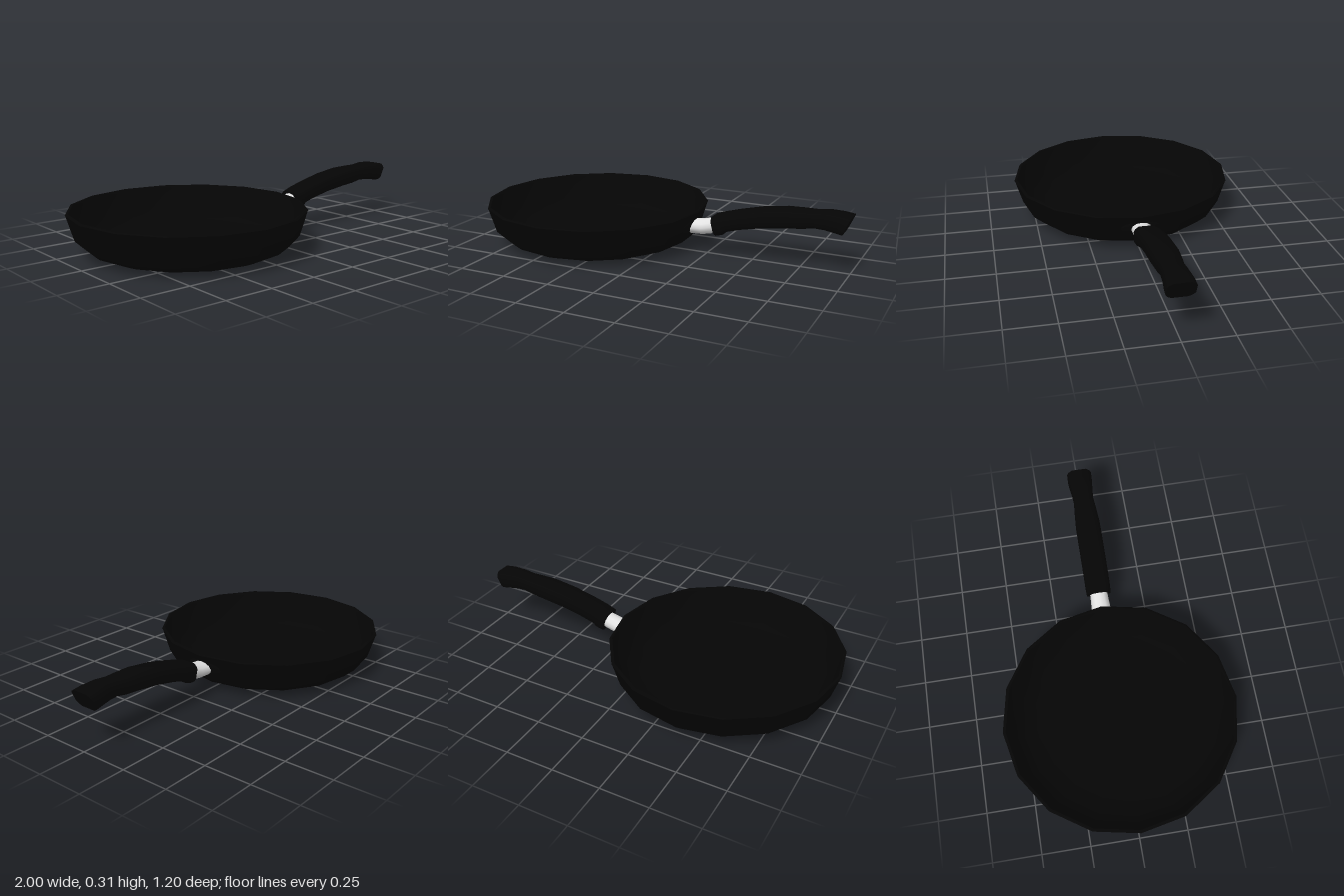
import * as THREE from 'three';
import { toCreasedNormals } from 'three/addons/utils/BufferGeometryUtils.js';

// Capped tube along +x; each section is [topX, topY, bottomX, bottomY, halfWidth]
function loft(sections, ring) {
  const pos = [], idx = [], n = ring.length;
  for (const [tx, ty, bx, by, w] of sections) {
    for (const [u, v] of ring) {
      const t = (v + 1) / 2;
      pos.push(bx + (tx - bx) * t, by + (ty - by) * t, u * w);
    }
  }
  for (let i = 0; i < sections.length - 1; i++) {
    for (let j = 0; j < n; j++) {
      const a = i * n + j, b = i * n + (j + 1) % n;
      idx.push(a, a + n, b, b, a + n, b + n);
    }
  }
  const last = (sections.length - 1) * n;
  for (let j = 1; j < n - 1; j++) {
    idx.push(0, j, j + 1, last, last + j + 1, last + j);
  }
  const g = new THREE.BufferGeometry();
  g.setAttribute('position', new THREE.Float32BufferAttribute(pos, 3));
  g.setIndex(idx);
  return toCreasedNormals(g, 1.0);
}

// Shallow oval pad bent to follow the slope and curve of the bowl wall
function wallPad() {
  const g = new THREE.SphereGeometry(1, 16, 10);
  const p = g.attributes.position;
  for (let i = 0; i < p.count; i++) {
    const y = p.getY(i) * 0.042, z = p.getZ(i) * 0.11;
    const x = Math.max(p.getX(i), 0) * 0.012 + 0.3 * y - 0.199 * Math.abs(z);
    p.setXYZ(i, x, y, z);
  }
  g.computeVertexNormals();
  return g;
}

export function createModel() {
  const model = new THREE.Group();
  model.name = 'fryingPan';
  const black = new THREE.MeshStandardMaterial({ color: 0x050505 });
  black.name = 'black coating';
  const steel = new THREE.MeshStandardMaterial({ color: 0xe2e2e2 });
  steel.name = 'pale steel';
  const add = (name, geometry, material) => {
    const mesh = new THREE.Mesh(geometry, material);
    mesh.name = name;
    model.add(mesh);
    return mesh;
  };

  // Sixteen-sided bowl: outside wall, rounded rim, then inside wall and floor
  const profile = [
    [0, 0], [0.36, 0], [0.45, 0.012], [0.505, 0.034], [0.56, 0.082], [0.597, 0.206], [0.601, 0.212],
    [0.596, 0.218], [0.586, 0.218], [0.58, 0.206], [0.544, 0.088], [0.495, 0.046], [0.445, 0.027],
    [0.36, 0.016], [0, 0.016],
  ].map(([r, y]) => new THREE.Vector2(r, y));
  const bowl = add('bowl', toCreasedNormals(new THREE.LatheGeometry(profile, 16), 0.9), black);
  bowl.position.x = -0.4;

  // Mount on the outside of the bowl
  const mount = add('handleMount', wallPad(), black);
  mount.position.set(0.174, 0.138, 0);

  // Steel neck
  const round = Array.from({ length: 12 }, (_, i) => {
    const a = i * Math.PI / 6;
    return [Math.cos(a), Math.sin(a)];
  });
  add('neck', loft([
    [0.183, 0.178, 0.16, 0.098, 0.053],
    [0.23, 0.183, 0.23, 0.1, 0.051],
    [0.27, 0.194, 0.28, 0.11, 0.048],
    [0.33, 0.208, 0.34, 0.128, 0.047],
  ], round), steel);

  // Curved grip with a chamfered section and a flared end
  const chamfered = [
    [1, -0.5], [1, 0.5], [0.88, 0.76], [0.58, 1], [-0.58, 1], [-0.88, 0.76],
    [-1, 0.5], [-1, -0.5], [-0.88, -0.76], [-0.58, -1], [0.58, -1], [0.88, -0.76],
  ];
  add('grip', loft([
    [0.285, 0.208, 0.31, 0.11, 0.064],
    [0.33, 0.224, 0.35, 0.122, 0.066],
    [0.345, 0.228, 0.36, 0.137, 0.066],
    [0.42, 0.249, 0.44, 0.16, 0.066],
    [0.54, 0.277, 0.555, 0.184, 0.066],
    [0.67, 0.295, 0.675, 0.2, 0.066],
    [0.76, 0.298, 0.76, 0.207, 0.06],
    [0.82, 0.299, 0.815, 0.217, 0.054],
    [0.88, 0.306, 0.87, 0.215, 0.058],
    [0.95, 0.303, 0.925, 0.207, 0.065],
    [1.0, 0.295, 0.957, 0.201, 0.067],
  ], chamfered), black);

  return model;
}
